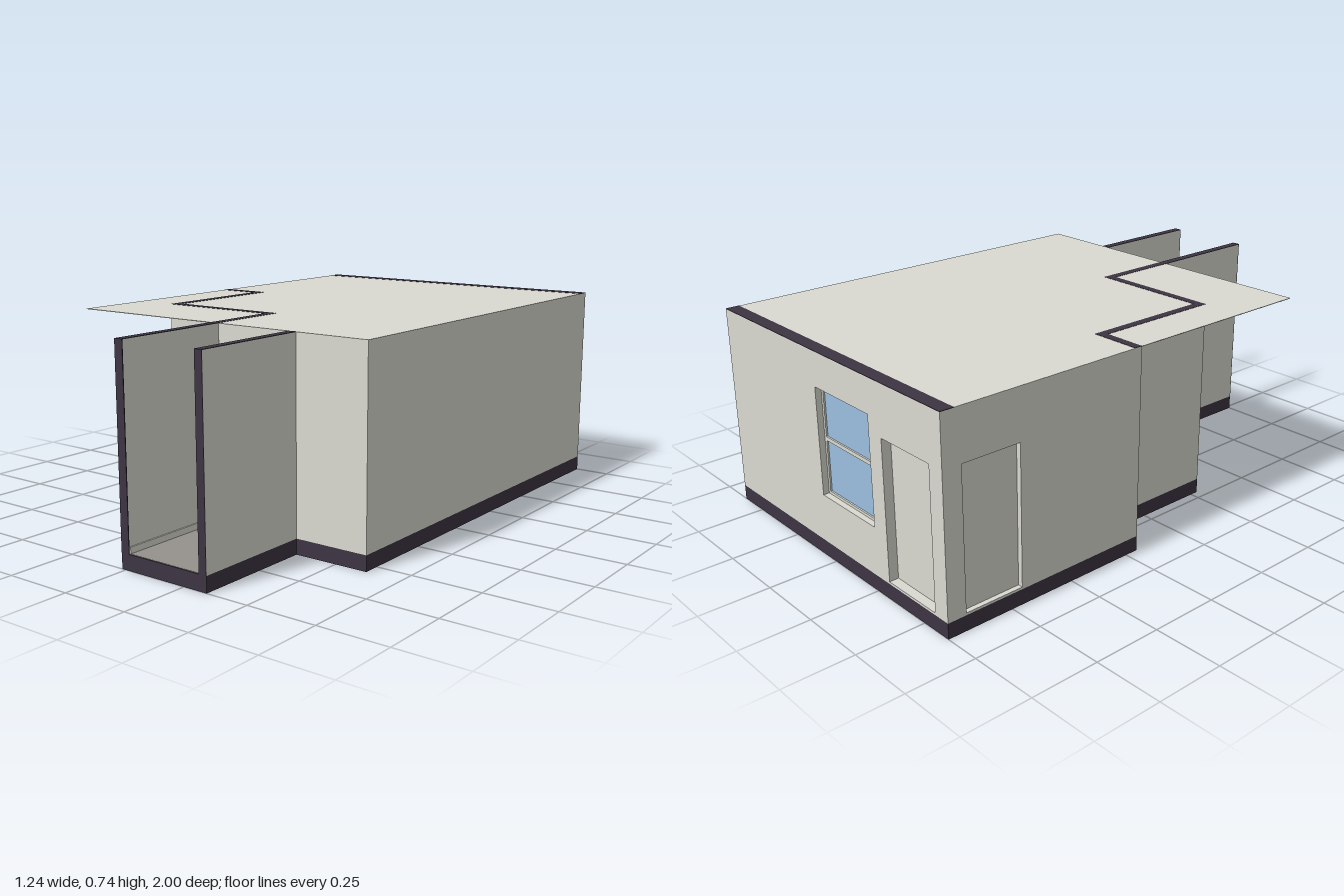
import * as THREE from 'three';

const BASE = 0.055, WALL_TOP = 0.738, CAP_TOP = 0.74;

export function createModel() {
  const mat = (name, color) => {
    const m = new THREE.MeshStandardMaterial({ color });
    m.name = name;
    return m;
  };
  const plaster = mat('pale plaster', 0xdadad2);
  const dark = mat('dark section', 0x3d3543);
  const floorMat = mat('grey floor', 0x95928d);
  const glassMat = mat('blue glass', 0x9cbfdf);

  const model = new THREE.Group();
  model.name = 'houseSection';

  // Box given by its lower and upper limits on each axis
  const box = (parent, name, material, x0, x1, y0, y1, z0, z1) => {
    const mesh = new THREE.Mesh(new THREE.BoxGeometry(x1 - x0, y1 - y0, z1 - z0), material);
    mesh.position.set((x0 + x1) / 2, (y0 + y1) / 2, (z0 + z1) / 2);
    mesh.name = name;
    parent.add(mesh);
  };

  // Upright slab from a plan outline of [x, z] points
  const slab = (name, material, outline, y0, y1, hole) => {
    const toPoints = pts => pts.map(([x, z]) => new THREE.Vector2(x, -z));
    const shape = new THREE.Shape(toPoints(outline));
    if (hole) shape.holes.push(new THREE.Path(toPoints(hole)));
    const geo = new THREE.ExtrudeGeometry(shape, { depth: y1 - y0, bevelEnabled: false });
    geo.rotateX(-Math.PI / 2).translate(0, y0, 0);
    const mesh = new THREE.Mesh(geo, material);
    mesh.name = name;
    model.add(mesh);
  };

  // Square-cornered outline moved inwards by d
  const inset = (pts, d) => pts.map(([x, z], i) => {
    const p = pts[(i + pts.length - 1) % pts.length], n = pts[(i + 1) % pts.length];
    const nx = -Math.sign(z - p[1]) - Math.sign(n[1] - z);
    const nz = Math.sign(x - p[0]) + Math.sign(n[0] - x);
    return [x + nx * d, z + nz * d];
  });

  // Hollow foundation skirt with the floor plate at its top
  const outer = [[-0.62, -1], [0.62, -1], [0.62, 0.56], [0.343, 0.56], [0.343, 1],
    [-0.015, 1], [-0.015, 0.28], [-0.465, 0.28], [-0.465, -0.2], [-0.62, -0.2]];
  const inner = inset(outer, 0.004);
  slab('foundationSkirt', dark, outer, 0, BASE, inner);
  slab('floor', floorMat, inner, BASE - 0.005, BASE + 0.001);

  // Wall from plan point a to b; its thickness lies to the inside.
  // Openings are [u0, u1, y0, y1] along the outer face.
  const wall = (name, a, b, { t = 0.03, openings = [], cap = false, extend = 0 } = {}) => {
    const dx = b[0] - a[0], dz = b[1] - a[1];
    const len = Math.hypot(dx, dz) + extend;
    const group = new THREE.Group();
    group.name = name;
    group.position.set(a[0], 0, a[1]);
    group.rotation.y = Math.atan2(-dz, dx);
    model.add(group);
    const rect = (path, u0, u1, y0, y1) =>
      path.moveTo(u0, y0).lineTo(u1, y0).lineTo(u1, y1).lineTo(u0, y1).lineTo(u0, y0);
    const shape = rect(new THREE.Shape(), 0, len, BASE, WALL_TOP);
    openings.forEach(o => shape.holes.push(rect(new THREE.Path(), ...o)));
    const body = new THREE.Mesh(
      new THREE.ExtrudeGeometry(shape, { depth: t, bevelEnabled: false }), plaster);
    body.name = name + 'Body';
    group.add(body);
    if (cap) box(group, name + 'Top', dark, 0, len, WALL_TOP, CAP_TOP, 0, t);
    return group;
  };

  const windowHole = [0.37, 0.67, 0.23, 0.615];
  const backDoor = [0.063, 0.303, 0.063, 0.558];
  const sideDoor = [0.51, 0.73, 0.063, 0.558];
  const hallDoor = [0.33, 0.59, 0.058, 0.565];

  const back = wall('backWall', outer[0], outer[1],
    { t: 0.05, openings: [windowHole, backDoor], cap: true });
  wall('leftWall', outer[1], outer[2]);
  const front = wall('frontWall', outer[2], [0.018, 0.56], { openings: [hallDoor] });
  const hallA = wall('corridorLeftWall', outer[3], outer[4], { cap: true });
  const hallB = wall('corridorRightWall', outer[5], outer[6], { cap: true, extend: 0.03 });
  wall('recessFrontWall', outer[6], outer[7], { cap: true });
  wall('recessSideWall', outer[7], outer[8], { cap: true, extend: 0.03 });
  wall('recessBackWall', outer[8], outer[9], { cap: true });
  const side = wall('rightWall', outer[9], outer[0], { openings: [sideDoor] });

  // Cut ends of the corridor walls
  box(hallA, 'cutEnd', dark, 0.438, 0.441, BASE, CAP_TOP, 0, 0.03);
  box(hallB, 'cutEnd', dark, -0.001, 0.002, BASE, CAP_TOP, 0, 0.033);

  // Skirting boards of the corridor
  box(model, 'skirting', plaster, 0.015, 0.02, BASE, 0.078, 0.56, 0.995);
  box(model, 'skirting', plaster, 0.309, 0.313, BASE, 0.078, 0.56, 0.995);

  // Border strips inside an opening
  const frame = (parent, [u0, u1, y0, y1], w, z0, z1) => {
    box(parent, 'frame', plaster, u0, u0 + w, y0, y1, z0, z1);
    box(parent, 'frame', plaster, u1 - w, u1, y0, y1, z0, z1);
    box(parent, 'frame', plaster, u0 + w, u1 - w, y1 - w, y1, z0, z1);
    box(parent, 'frame', plaster, u0 + w, u1 - w, y0, y0 + w, z0, z1);
  };

  // Window with one cross bar
  frame(back, windowHole, 0.01, 0.022, 0.042);
  box(back, 'windowBar', plaster, 0.38, 0.66, 0.424, 0.438, 0.022, 0.042);
  box(back, 'windowGlass', glassMat, 0.38, 0.66, 0.24, 0.605, 0.028, 0.033);

  // Recessed door leaves
  box(back, 'backDoor', plaster, backDoor[0], backDoor[1], backDoor[2], backDoor[3], 0.034, 0.048);
  box(side, 'sideDoor', plaster, sideDoor[0], sideDoor[1], sideDoor[2], sideDoor[3], 0.018, 0.029);
  box(front, 'hallDoor', plaster, 0.336, 0.583, 0.058, 0.56, 0.02, 0.03);

  // Lever handle and lock strip of the hall door
  box(front, 'handleStem', dark, 0.35, 0.364, 0.288, 0.302, 0.003, 0.021);
  box(front, 'handleLever', dark, 0.35, 0.385, 0.291, 0.299, 0.002, 0.008);
  box(front, 'lockStrip', dark, 0.332, 0.336, 0.16, 0.23, 0.014, 0.024);

  // Flat ceiling overhanging the recesses
  box(model, 'ceiling', plaster, -0.62, 0.62, 0.737, 0.739, -0.95, 0.56);

  return model;
}
